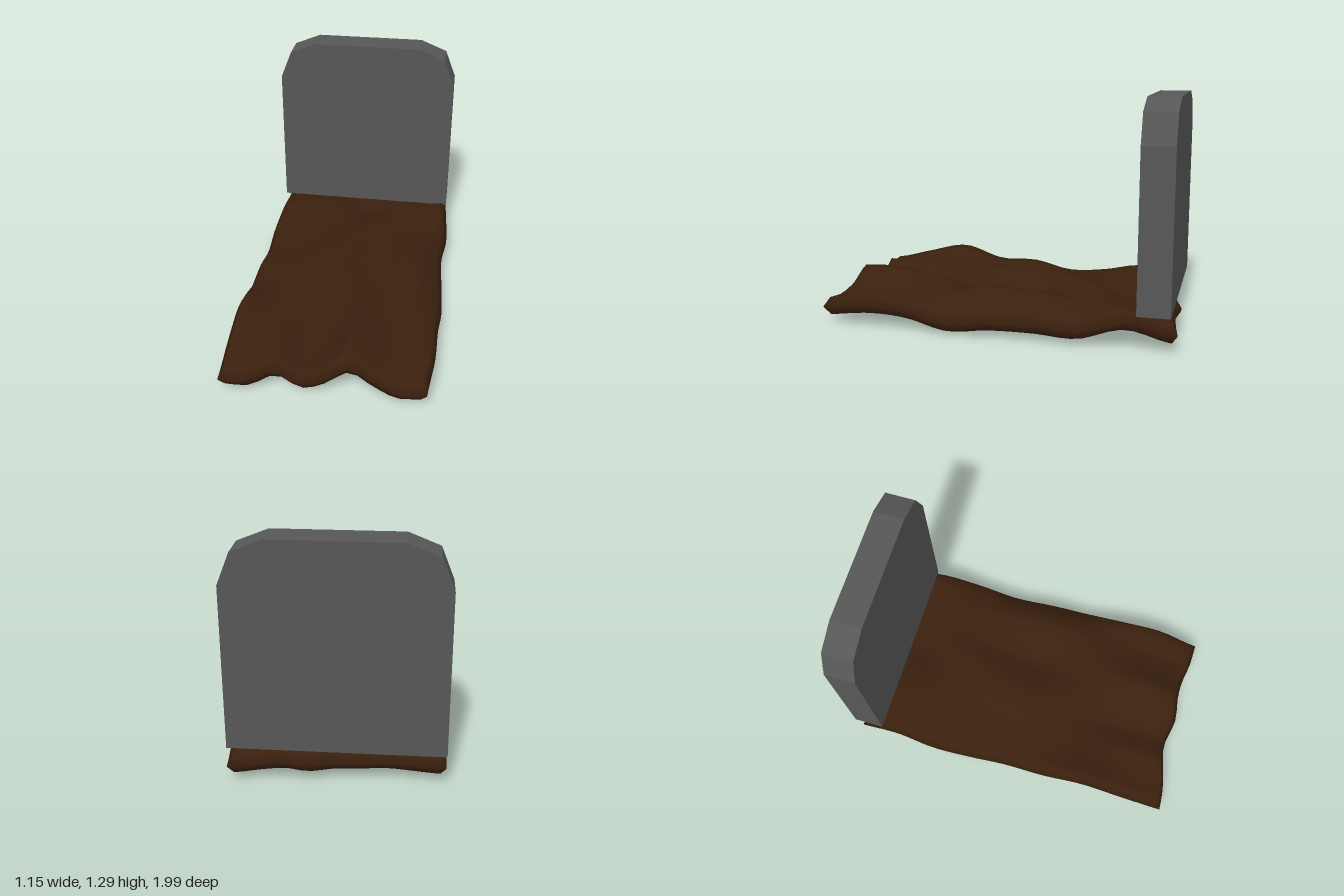
import * as THREE from 'three';
import { mergeVertices } from 'three/addons/utils/BufferGeometryUtils.js';

// Middle height of the earth: rows run front to back, columns from -x to +x
const HEIGHTS = [
  [.09, .09, .14, .06, .13, .20, .13, .09, .105],
  [.15, .12, .13, .06, .11, .21, .14, .10, .14],
  [.20, .14, .12, .09, .13, .17, .15, .12, .13],
  [.13, .12, .13, .15, .15, .12, .15, .16, .08],
  [.13, .12, .16, .20, .16, .11, .16, .20, .10],
  [.08, .10, .13, .18, .18, .13, .16, .18, .10],
  [.095, .12, .13, .14, .17, .15, .14, .14, .10],
  [.14, .16, .16, .14, .09, .11, .14, .15, .165],
  [.11, .12, .13, .12, .12, .13, .13, .12, .11],
];
// Plan outline: sides run front to back, ends from -x to +x
const LEFT = [.56, .565, .565, .565, .565, .57, .58, .565, .565];
const RIGHT = [.54, .565, .565, .575, .56, .545, .565, .545, .535];
const FRONT = [.99, .98, .94, .93, .955, .93, .94, .965, .97];
const BACK = [.93, .93, .93, .93, .94, .99, .97, .98, 1.0];

// Smooth interpolation through evenly spaced values, t from 0 to 1
function spline(v, t) {
  const f = THREE.MathUtils.clamp(t, 0, 1) * (v.length - 1);
  const i = Math.min(Math.floor(f), v.length - 2), k = f - i;
  const b = v[i], c = v[i + 1];
  const a = v[i - 1] ?? b, d = v[i + 2] ?? c;
  return b + 0.5 * k * (c - a + k * (2 * a - 5 * b + 4 * c - d + k * (3 * (b - c) + d - a)));
}

// Rumpled sheet of earth with a pointed rim, coarse enough to look rough
function makeEarth() {
  const geo = new THREE.BoxGeometry(2, 2, 2, 18, 2, 30);
  geo.deleteAttribute('normal');
  geo.deleteAttribute('uv');
  const merged = mergeVertices(geo, 1e-4);
  const p = merged.attributes.position;
  for (let i = 0; i < p.count; i++) {
    const u = p.getX(i), t = p.getY(i), w = p.getZ(i);
    const s = (u + 1) / 2, r = (1 - w) / 2;
    // Draw the rim in above and below the middle
    const inset = 0.03 * Math.abs(t);
    const halfX = spline(u < 0 ? LEFT : RIGHT, r) - inset;
    const halfZ = spline(w < 0 ? BACK : FRONT, s) - inset;
    const height = spline(HEIGHTS.map((row) => spline(row, s)), r);
    p.setXYZ(i, u * halfX, height + t * 0.05, w * halfZ);
  }
  merged.computeVertexNormals();
  return merged;
}

// Upright slab with chamfered shoulders
function makeStone() {
  const outline = [
    [-.565, .19], [.54, .19], [.54, 1.06], [.475, 1.225],
    [.315, 1.29], [-.34, 1.29], [-.5, 1.225], [-.565, 1.06],
  ].map(([x, y]) => new THREE.Vector2(x, y));
  const geo = new THREE.ExtrudeGeometry(new THREE.Shape(outline), { depth: 0.175, bevelEnabled: false });
  return geo.translate(0, 0, -0.965);
}

export function createModel() {
  const group = new THREE.Group();
  group.name = 'gravestone';

  const earth = new THREE.Mesh(makeEarth(), new THREE.MeshStandardMaterial({ color: 0x3a200e }));
  earth.name = 'earth';

  const stone = new THREE.Mesh(makeStone(), new THREE.MeshStandardMaterial({ color: 0x575757, flatShading: true }));
  stone.name = 'headstone';

  group.add(earth, stone);

  // Rest the lowest point on the ground
  earth.geometry.computeBoundingBox();
  earth.position.y = -earth.geometry.boundingBox.min.y;
  return group;
}
